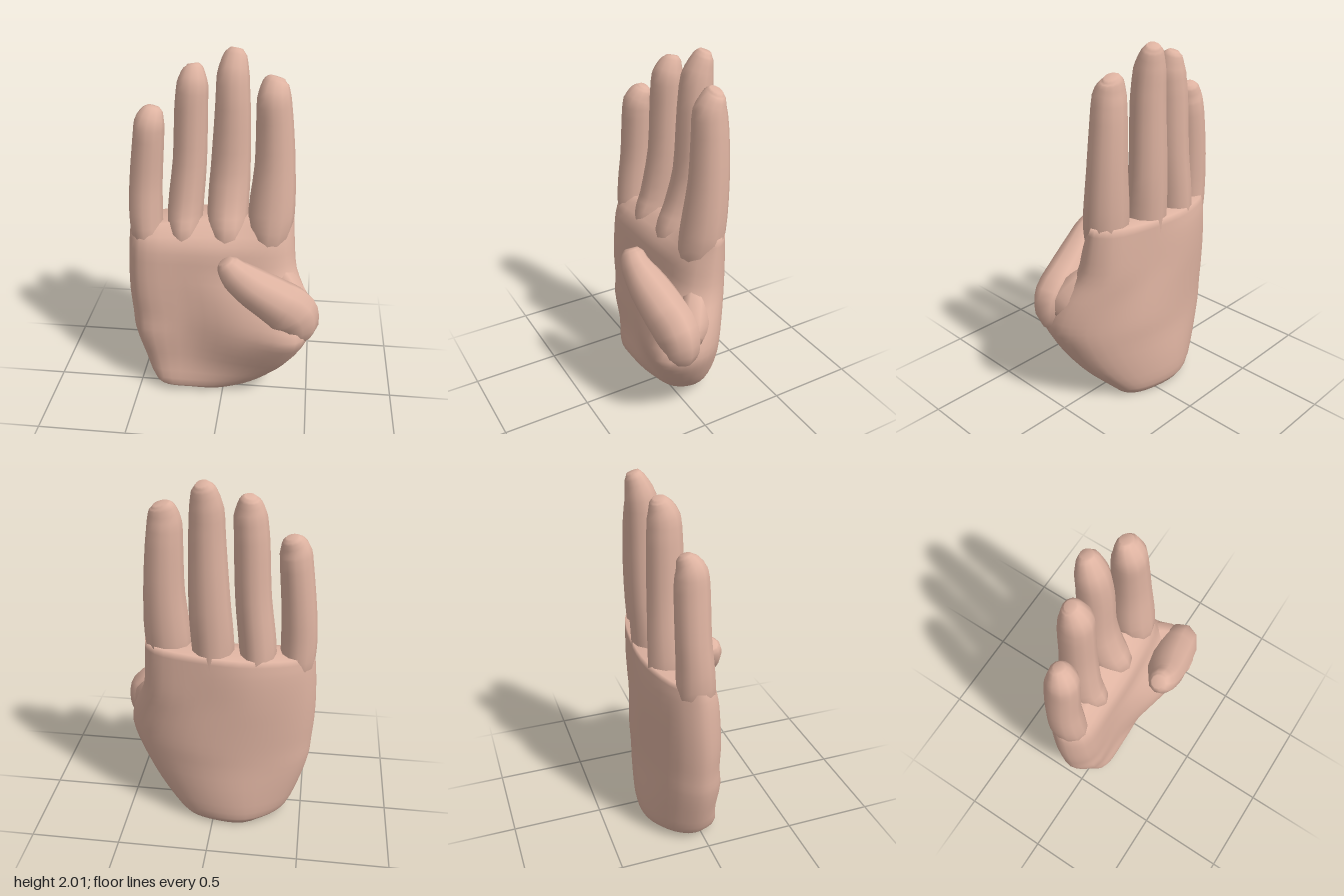
import * as THREE from 'three';

const skin = new THREE.MeshStandardMaterial({ color: 0xdeb3a1 });

// Closed skin over a stack of equal-length rings, capped at both ends.
function loft(name, rings) {
  const n = rings[0].length, pos = [], idx = [];
  rings.forEach(r => r.forEach(p => pos.push(p.x, p.y, p.z)));
  for (let i = 0; i < rings.length - 1; i++) {
    for (let j = 0; j < n; j++) {
      const a = i * n + j, b = i * n + (j + 1) % n;
      idx.push(a, b, b + n, a, b + n, a + n);
    }
  }
  [0, rings.length - 1].forEach(i => {
    const c = rings[i].reduce((s, p) => s.add(p), new THREE.Vector3()).divideScalar(n);
    const k = pos.length / 3;
    pos.push(c.x, c.y, c.z);
    for (let j = 0; j < n; j++) {
      const a = i * n + j, b = i * n + (j + 1) % n;
      if (i === 0) idx.push(k, b, a); else idx.push(k, a, b);
    }
  });
  const g = new THREE.BufferGeometry();
  g.setAttribute('position', new THREE.Float32BufferAttribute(pos, 3));
  g.setIndex(idx);
  g.computeVertexNormals();
  const mesh = new THREE.Mesh(g, skin);
  mesh.name = name;
  return mesh;
}

// Finger-like limb; joints are [x, y, z, half width, half depth].
function limb(name, joints, steps = 3, sides = 12) {
  const path = new THREE.CatmullRomCurve3(joints.map(j => new THREE.Vector3(j[0], j[1], j[2])));
  const size = new THREE.CatmullRomCurve3(joints.map(j => new THREE.Vector3(j[3], j[4], 0)));
  const count = (joints.length - 1) * steps, rings = [];
  for (let i = 0; i <= count; i++) {
    const c = path.getPoint(i / count), t = path.getTangent(i / count), s = size.getPoint(i / count);
    const w = new THREE.Vector3(t.y, -t.x, 0).normalize();
    const d = new THREE.Vector3().crossVectors(w, t).normalize();
    const ring = [];
    for (let j = 0; j < sides; j++) {
      const a = -j / sides * Math.PI * 2;
      ring.push(c.clone().addScaledVector(w, Math.cos(a) * s.x).addScaledVector(d, Math.sin(a) * s.y));
    }
    rings.push(ring);
  }
  return loft(name, rings);
}

// Palm sections: y, left x, right x, edge z, four front z, edge z, four back z.
function palm() {
  const rows = [
    [0.00, -0.37, 0.17, -0.05, 0.03, 0.05, 0.04, -0.03, -0.12, -0.19, -0.24, -0.24, -0.13],
    [0.05, -0.42, 0.22, -0.04, 0.08, 0.10, 0.08, 0.02, -0.10, -0.20, -0.27, -0.27, -0.16],
    [0.20, -0.48, 0.36, -0.04, 0.07, 0.09, 0.12, 0.11, -0.02, -0.16, -0.27, -0.28, -0.17],
    [0.38, -0.53, 0.47, -0.04, 0.08, 0.09, 0.18, 0.20, 0.04, -0.13, -0.26, -0.27, -0.17],
    [0.50, -0.54, 0.51, -0.04, 0.07, 0.09, 0.19, 0.24, 0.04, -0.12, -0.26, -0.27, -0.17],
    [0.64, -0.55, 0.48, -0.04, 0.07, 0.08, 0.14, 0.14, 0.00, -0.15, -0.26, -0.27, -0.17],
    [0.80, -0.55, 0.41, -0.05, 0.06, 0.07, 0.07, 0.04, -0.07, -0.20, -0.26, -0.27, -0.17],
    [0.97, -0.54, 0.39, -0.06, 0.04, 0.05, 0.04, 0.00, -0.10, -0.21, -0.26, -0.265, -0.17],
    [1.09, -0.53, 0.38, -0.07, -0.01, -0.05, -0.08, -0.06, -0.12, -0.21, -0.26, -0.25, -0.16],
  ];
  const at = [0, 0.08, 0.35, 0.65, 0.92, 1, 0.92, 0.65, 0.35, 0.08];
  const columns = at.map((f, k) => new THREE.CatmullRomCurve3(rows.map(r =>
    new THREE.Vector3(r[1] + (r[2] - r[1]) * f, r[0] + (r[0] > 1 ? 0.06 * (f - 0.6) : 0), r[3 + k]))));
  const rings = [], count = 24;
  for (let i = 0; i <= count; i++) {
    const loop = new THREE.CatmullRomCurve3(columns.map(c => c.getPoint(i / count)), true);
    rings.push(loop.getPoints(40).slice(0, 40));
  }
  return loft('palm', rings);
}

export function createModel() {
  const hand = new THREE.Group();
  hand.name = 'hand';
  hand.add(palm());

  // Four fingers, from the outer edge towards the thumb; their roots fade into the palm
  hand.add(limb('littleFinger', [
    [-0.42, 0.80, -0.05, 0.05, 0.06], [-0.438, 1.00, -0.065, 0.093, 0.105], [-0.442, 1.12, -0.07, 0.096, 0.10],
    [-0.435, 1.30, -0.08, 0.092, 0.092], [-0.412, 1.54, -0.08, 0.086, 0.09], [-0.402, 1.63, -0.08, 0.082, 0.082],
    [-0.385, 1.695, -0.10, 0.055, 0.05], [-0.38, 1.715, -0.105, 0.03, 0.025]]));
  hand.add(limb('ringFinger', [
    [-0.22, 0.80, -0.10, 0.06, 0.07], [-0.23, 0.99, -0.105, 0.095, 0.145], [-0.227, 1.12, -0.125, 0.1, 0.125],
    [-0.20, 1.40, -0.14, 0.094, 0.10], [-0.187, 1.70, -0.14, 0.09, 0.093], [-0.178, 1.83, -0.14, 0.083, 0.085],
    [-0.175, 1.91, -0.16, 0.052, 0.05], [-0.178, 1.93, -0.165, 0.028, 0.028]]));
  hand.add(limb('middleFinger', [
    [0.01, 0.80, -0.11, 0.06, 0.07], [0.01, 0.99, -0.115, 0.11, 0.15], [0.01, 1.13, -0.145, 0.115, 0.125],
    [0.02, 1.35, -0.175, 0.11, 0.10], [0.03, 1.70, -0.18, 0.095, 0.093], [0.03, 1.87, -0.19, 0.086, 0.083],
    [0.04, 1.97, -0.215, 0.06, 0.052], [0.045, 2.0, -0.225, 0.032, 0.032]]));
  hand.add(limb('indexFinger', [
    [0.22, 0.80, -0.08, 0.06, 0.06], [0.245, 0.99, -0.09, 0.11, 0.115], [0.255, 1.13, -0.105, 0.128, 0.118],
    [0.265, 1.40, -0.125, 0.11, 0.105], [0.256, 1.65, -0.13, 0.098, 0.095], [0.25, 1.77, -0.13, 0.09, 0.086],
    [0.255, 1.85, -0.15, 0.067, 0.052], [0.262, 1.875, -0.155, 0.04, 0.03]]));

  // Thumb folded across the palm, with the web joining it to the side of the hand
  hand.add(limb('thumb', [
    [0.40, 0.46, 0.12, 0.06, 0.06], [0.425, 0.55, 0.125, 0.12, 0.10], [0.39, 0.635, 0.13, 0.15, 0.12],
    [0.30, 0.715, 0.15, 0.132, 0.122], [0.18, 0.81, 0.18, 0.112, 0.11], [0.09, 0.895, 0.205, 0.092, 0.083],
    [0.045, 0.955, 0.205, 0.065, 0.062], [0.03, 0.98, 0.205, 0.038, 0.036]], 3, 10));
  hand.add(limb('thumbWeb', [
    [0.45, 0.58, 0.08, 0.06, 0.06], [0.41, 0.66, 0.04, 0.08, 0.09], [0.35, 0.75, -0.01, 0.07, 0.08],
    [0.29, 0.84, -0.05, 0.03, 0.04]], 3, 8));
  return hand;
}
